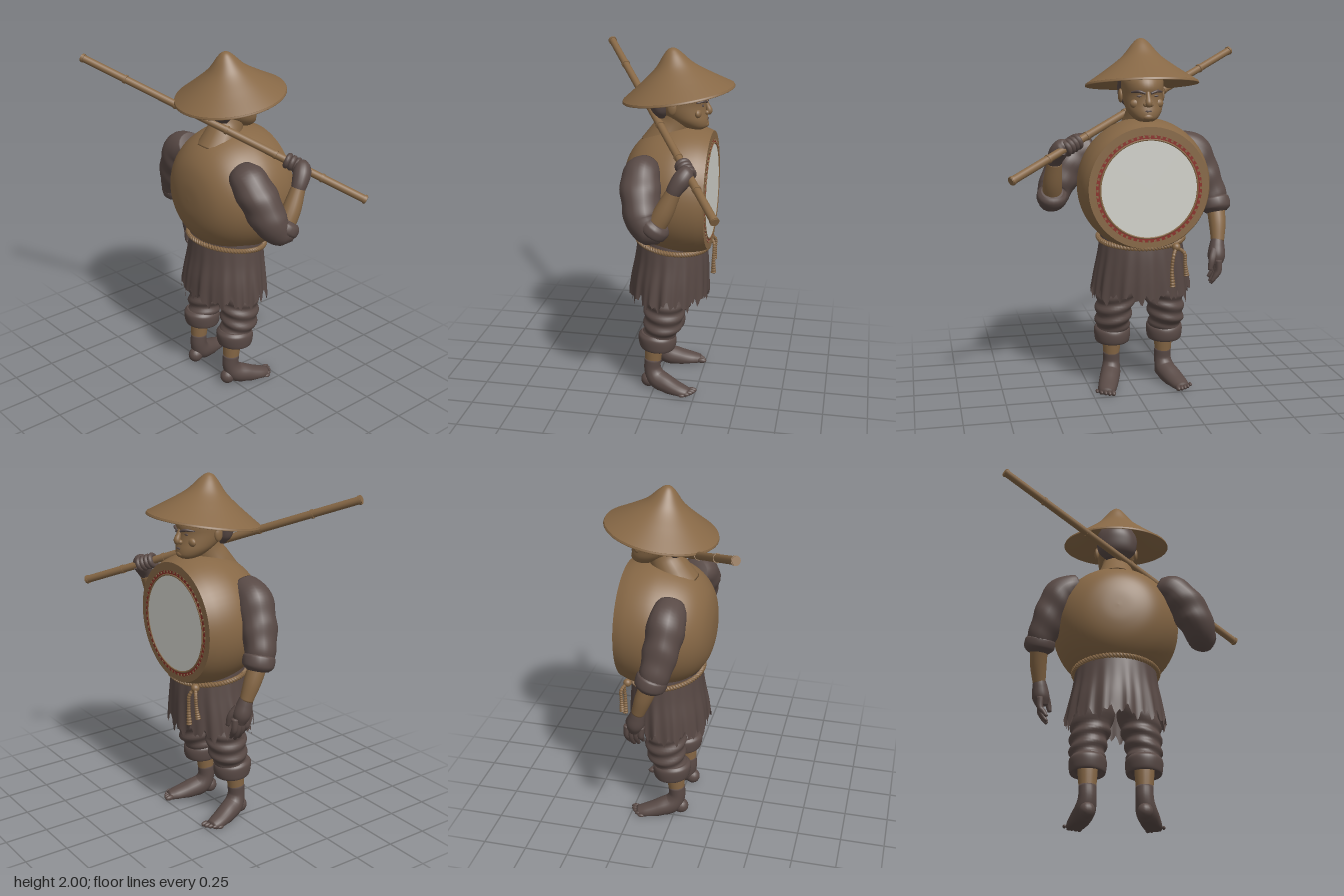
import * as THREE from 'three';

const V = (x, y, z) => new THREE.Vector3(x, y, z);
const mat = (name, color, side = THREE.FrontSide) => {
  const m = new THREE.MeshStandardMaterial({ color, side });
  m.name = name;
  return m;
};

// Skin a list of closed rings, optionally capped at both ends
function skin(rings, caps = true) {
  const n = rings[0].length, pos = [], idx = [];
  rings.forEach(r => r.forEach(p => pos.push(p.x, p.y, p.z)));
  for (let i = 0; i < rings.length - 1; i++) for (let j = 0; j < n; j++) {
    const a = i * n + j, b = i * n + (j + 1) % n;
    idx.push(a, b, a + n, b, b + n, a + n);
  }
  if (caps) [0, rings.length - 1].forEach((ri, end) => {
    const c = rings[ri].reduce((s, p) => s.add(p), V(0, 0, 0)).divideScalar(n);
    const ci = pos.length / 3;
    pos.push(c.x, c.y, c.z);
    for (let j = 0; j < n; j++) {
      const a = ri * n + j, b = ri * n + (j + 1) % n;
      end ? idx.push(ci, a, b) : idx.push(ci, b, a);
    }
  });
  const g = new THREE.BufferGeometry();
  g.setAttribute('position', new THREE.Float32BufferAttribute(pos, 3));
  g.setIndex(idx);
  g.computeVertexNormals();
  return g;
}

// Limb along a smooth path; points are [x, y, z, radius]
function limb(pts, wrinkle = () => 1, steps = 28, sides = 20) {
  const curve = new THREE.CatmullRomCurve3(pts.map(p => V(p[0], p[1], p[2])));
  const radii = new THREE.CatmullRomCurve3(pts.map((p, i) => V(p[3], i, 0)));
  const f = curve.computeFrenetFrames(steps, false), rings = [];
  for (let i = 0; i <= steps; i++) {
    const u = i / steps, c = curve.getPointAt(u), r = radii.getPoint(curve.getUtoTmapping(u)).x;
    rings.push(Array.from({ length: sides }, (_, j) => {
      const a = j / sides * Math.PI * 2, k = r * wrinkle(u, a);
      return c.clone().addScaledVector(f.normals[i], k * Math.cos(a)).addScaledVector(f.binormals[i], k * Math.sin(a));
    }));
  }
  return skin(rings);
}

// Loft of level ellipses, bottom to top; rows are [y, back x, front x, centre z, half width]
function loft(rows, deform = p => p, caps = true, steps = 28, sides = 40) {
  const path = new THREE.CatmullRomCurve3(rows.map(r => V(r[1], r[0], r[2])));
  const wide = new THREE.CatmullRomCurve3(rows.map((r, i) => V(r[3], i, r[4])));
  const rings = [];
  for (let i = 0; i <= steps; i++) {
    const t = i / steps, p = path.getPoint(t), w = wide.getPoint(t);
    rings.push(Array.from({ length: sides }, (_, j) => {
      const a = j / sides * Math.PI * 2;
      return deform(V((p.x + p.z) / 2 + (p.z - p.x) / 2 * Math.sin(a), p.y, w.x + w.z * Math.cos(a)), a, t);
    }));
  }
  return skin(rings, caps);
}

export function createModel() {
  const model = new THREE.Group();
  const tan = mat('tan', 0x876846), dark = mat('dark brown', 0x594a46);
  const cloth = mat('ragged cloth', 0x574844, THREE.DoubleSide);
  const white = mat('drum white', 0xd2d2cb), red = mat('red trim', 0x8a3028);
  const add = (name, geo, m, x = 0, y = 0, z = 0) => {
    const mesh = new THREE.Mesh(geo, m);
    mesh.name = name;
    mesh.position.set(x, y, z);
    model.add(mesh);
    return mesh;
  };
  const ball = (r, sx = 1, sy = 1, sz = 1) => new THREE.SphereGeometry(r, 18, 12).scale(sx, sy, sz);
  const lathe = (pts, n = 64) => new THREE.LatheGeometry(
    new THREE.SplineCurve(pts.map(p => new THREE.Vector2(...p))).getPoints(40), n);
  const CZ = -0.05;

  // Straw hat: outer cone and underside, tipped back
  const outer = [[0.312, 0], [0.2, 0.075], [0.11, 0.143], [0.05, 0.212], [0.022, 0.238], [0, 0.245]];
  const under = [[0, 0.2], [0.05, 0.185], [0.11, 0.128], [0.2, 0.062], [0.306, -0.01]];
  add('hatTop', lathe(outer), tan, 0.105, 1.76, CZ).rotation.z = 0.16;
  add('hatUnderside', lathe([...under, [0.312, 0]]), tan, 0.105, 1.76, CZ).rotation.z = 0.16;

  // Head and face
  add('head', loft([[1.558, 0.17, 0.25, CZ, 0.04], [1.575, 0.12, 0.272, CZ, 0.068], [1.61, 0.06, 0.274, CZ, 0.094],
    [1.65, 0.01, 0.266, CZ, 0.106], [1.7, -0.03, 0.262, CZ, 0.112], [1.74, -0.045, 0.27, CZ, 0.115],
    [1.78, -0.05, 0.258, CZ, 0.114], [1.83, -0.03, 0.21, CZ, 0.095], [1.86, 0.03, 0.14, CZ, 0.05]]), tan);
  add('hair', loft([[1.62, -0.01, 0.05, CZ, 0.07], [1.66, -0.045, 0.075, CZ, 0.108], [1.72, -0.06, 0.1, CZ, 0.121],
    [1.78, -0.06, 0.17, CZ, 0.121], [1.83, -0.035, 0.17, CZ, 0.1]]), dark);
  add('neck', limb([[0.02, 1.44, CZ, 0.13], [0.06, 1.53, CZ, 0.105], [0.09, 1.59, CZ, 0.088], [0.11, 1.66, CZ, 0.08]]), tan);
  add('nose', limb([[0.258, 1.72, CZ, 0.01], [0.268, 1.69, CZ, 0.014], [0.278, 1.66, CZ, 0.019], [0.27, 1.645, CZ, 0.015]]), tan);
  add('mouth', limb([[0.25, 1.612, CZ - 0.04, 0.003], [0.273, 1.617, CZ, 0.005], [0.25, 1.612, CZ + 0.04, 0.003]]), dark);
  add('chin', ball(0.03, 0.8, 0.7, 1.1), tan, 0.255, 1.585, CZ);
  for (const s of [1, -1]) {
    add('ear', ball(0.034, 0.75, 1.15, 0.4), tan, 0.09, 1.69, CZ + s * 0.118);
    add('nostril', ball(0.013), tan, 0.268, 1.653, CZ + s * 0.016);
    add('eye', ball(0.014, 0.4, 0.4, 1.2), dark, 0.25, 1.697, CZ + s * 0.045);
    add('brow', limb([[0.267, 1.712, CZ + s * 0.015, 0.006], [0.258, 1.723, CZ + s * 0.05, 0.008],
      [0.222, 1.718, CZ + s * 0.085, 0.004]]), dark);
    add('cheek', ball(0.033, 0.6, 0.8, 1), tan, 0.225, 1.655, CZ + s * 0.06);
  }

  // Drum torso, lying along x with its skin in front
  const drum = lathe([[0, -0.2], [0.1, -0.194], [0.2, -0.165], [0.28, -0.105], [0.335, -0.02],
    [0.365, 0.08], [0.37, 0.16], [0.358, 0.24], [0.336, 0.3]]).rotateZ(-Math.PI / 2);
  add('drumBody', drum, tan, 0, 1.2, CZ);
  const front = g => g.rotateY(Math.PI / 2);
  add('drumFront', front(new THREE.RingGeometry(0.26, 0.336, 64)), tan, 0.3, 1.2, CZ);
  add('drumSkin', front(new THREE.CircleGeometry(0.268, 64)), white, 0.303, 1.195, CZ);
  add('drumRim', front(new THREE.TorusGeometry(0.272, 0.006, 8, 64)), tan, 0.301, 1.195, CZ);
  add('drumTrim', front(new THREE.RingGeometry(0.277, 0.296, 64)), red, 0.303, 1.195, CZ);
  for (let i = 0; i < 56; i++) {
    const a = i / 56 * Math.PI * 2;
    add('drumStitch', new THREE.BoxGeometry(0.005, 0.011, 0.013), tan,
      0.303, 1.195 + 0.289 * Math.cos(a), CZ + 0.289 * Math.sin(a)).rotation.x = a;
  }

  // Torn skirt: folds deepen toward a ragged hem
  add('skirt', loft([[0.57, -0.165, 0.29, CZ, 0.283], [0.68, -0.155, 0.29, CZ, 0.268],
    [0.8, -0.135, 0.285, CZ, 0.247], [0.93, -0.12, 0.27, CZ, 0.23]], (p, a, t) => {
    const k = 1 + (1 - t) * (0.025 * Math.sin(a * 13) + 0.018 * Math.sin(a * 23 + 1));
    const hem = 0.022 * Math.sin(a * 17) + 0.018 * Math.sin(a * 41 + 2) + 0.012 * Math.sin(a * 7);
    return V(0.065 + (p.x - 0.065) * k, p.y + hem * Math.pow(1 - t, 4), CZ + (p.z - CZ) * k);
  }, false, 24, 160), cloth);

  // Twisted rope belt with a knot and two hanging ends
  for (const ph of [0, Math.PI]) {
    const pts = Array.from({ length: 240 }, (_, i) => {
      const a = i / 240 * Math.PI * 2, w = a * 40 + ph, r = 0.007 * Math.cos(w);
      const x = 0.08 + (0.208 + r) * Math.cos(a);
      return V(x, 0.89 - 0.13 * (x - 0.08) + 0.007 * Math.sin(w), CZ + (0.243 + r) * Math.sin(a));
    });
    add('ropeBelt', new THREE.TubeGeometry(new THREE.CatmullRomCurve3(pts, true), 480, 0.009, 6, true), tan);
  }
  add('ropeKnot', ball(0.024), tan, 0.275, 0.86, -0.21);
  const twist = u => 1 + 0.15 * Math.sin(u * 90);
  add('ropeEnd', limb([[0.275, 0.86, -0.21, 0.01], [0.3, 0.82, -0.19, 0.01], [0.3, 0.74, -0.18, 0.01], [0.3, 0.64, -0.185, 0.015]], twist, 60, 8), tan);
  add('ropeEnd', limb([[0.275, 0.86, -0.21, 0.01], [0.3, 0.83, -0.25, 0.01], [0.3, 0.77, -0.255, 0.01], [0.295, 0.7, -0.265, 0.015]], twist, 60, 8), tan);

  // Legs: trousers, rolled cuffs, shins and broad feet
  const crumple = (u, a) => 1 + 0.03 * Math.sin(u * 22 + 2 * Math.sin(a)) + 0.02 * Math.sin(a * 3 + u * 9);
  for (const s of [1, -1]) {
    const z = d => CZ + s * d;
    add('trouserLeg', loft([[0.33, -0.07, 0.11, z(0.155), 0.092], [0.4, -0.06, 0.155, z(0.157), 0.1],
      [0.48, -0.06, 0.17, z(0.15), 0.106], [0.56, -0.06, 0.18, z(0.135), 0.115], [0.72, -0.08, 0.2, z(0.115), 0.115]],
    (p, a, t) => p.add(V(Math.sin(a), 0, Math.cos(a)).multiplyScalar(0.007 * Math.sin(t * 26 + 2 * Math.sin(a + s))))), dark);
    add('trouserCuff', loft([[0.28, -0.05, 0.08, z(0.155), 0.07], [0.265, -0.08, 0.115, z(0.155), 0.095],
      [0.3, -0.092, 0.128, z(0.155), 0.104], [0.34, -0.093, 0.125, z(0.155), 0.104], [0.362, -0.075, 0.1, z(0.155), 0.088]],
    p => p.setY(p.y + 0.06 * (p.x - 0.02) * -1)), dark);
    add('shin', limb([[0, 0.34, z(0.155), 0.058], [-0.005, 0.26, z(0.155), 0.054], [-0.01, 0.17, z(0.155), 0.047]]), tan);
    const foot = limb([[-0.01, 0.19, z(0.155), 0.049], [-0.012, 0.12, z(0.155), 0.05], [0.015, 0.065, z(0.165), 0.058],
      [0.09, 0.038, z(0.19), 0.057], [0.17, 0.022, z(0.215), 0.051], [0.215, 0.015, z(0.225), 0.038]]);
    const p = foot.attributes.position;
    for (let i = 0; i < p.count; i++) {
      const flat = THREE.MathUtils.smoothstep(p.getX(i), 0.05, 0.2);
      p.setY(i, Math.max(0.002, p.getY(i) * (1 - 0.25 * flat)));
    }
    foot.computeVertexNormals();
    add('foot', foot, dark);
    add('heel', ball(0.045, 1, 1, 0.95), dark, -0.036, 0.046, z(0.155));
    for (let i = 0; i < 5; i++)
      add('toe', ball(0.017 - i * 0.0015, 1.7, 0.95, 0.85), dark, 0.23 - i * i * 0.003, 0.017, z(0.19 + i * 0.021));
  }

  // Raised arm gripping the pole
  add('raisedSleeve', limb([[-0.02, 1.4, 0.2, 0.075], [-0.035, 1.365, 0.28, 0.105], [-0.02, 1.25, 0.38, 0.108],
    [0.01, 1.15, 0.435, 0.093], [0.055, 1.12, 0.455, 0.078], [0.085, 1.16, 0.455, 0.06]], crumple, 40), dark);
  add('raisedCuff', limb([[0.04, 1.1, 0.452, 0.06], [0.055, 1.12, 0.453, 0.083], [0.08, 1.15, 0.455, 0.082], [0.093, 1.168, 0.455, 0.06]]), dark);
  add('raisedForearm', limb([[0.06, 1.12, 0.453, 0.053], [0.115, 1.22, 0.455, 0.053], [0.17, 1.34, 0.45, 0.04]]), tan);
  add('raisedPalm', limb([[0.155, 1.31, 0.452, 0.036], [0.18, 1.36, 0.448, 0.044], [0.21, 1.405, 0.432, 0.05],
    [0.235, 1.44, 0.41, 0.042], [0.25, 1.455, 0.4, 0.022]]), dark);

  // Bamboo pole over the shoulder, with joints, and the fingers around it
  const A = V(-0.427, 1.912, -0.715), B = V(0.427, 1.283, 0.715);
  const dir = B.clone().sub(A), len = dir.length();
  dir.normalize();
  const onPole = (name, geo, m, t) => {
    const c = A.clone().lerp(B, t);
    return add(name, geo, m, c.x, c.y, c.z).quaternion.setFromUnitVectors(V(0, 1, 0), dir);
  };
  onPole('pole', new THREE.CylinderGeometry(0.022, 0.021, len, 20), tan, 0.5);
  for (const t of [0.006, 0.16, 0.34, 0.52, 0.69, 0.85, 0.994])
    onPole('poleJoint', new THREE.CylinderGeometry(0.025, 0.025, 0.013, 20), tan, t);
  for (let i = 0; i < 4; i++)
    onPole('grippingFinger', new THREE.TorusGeometry(0.03, 0.016, 10, 24).rotateX(Math.PI / 2), dark, 0.732 + i * 0.0155);
  add('grippingThumb', limb([[0.2, 1.38, 0.43, 0.022], [0.235, 1.385, 0.43, 0.019], [0.265, 1.405, 0.415, 0.014]]), dark);

  // Lowered arm with a relaxed hand
  add('loweredSleeve', limb([[0, 1.41, -0.27, 0.075], [0, 1.365, -0.36, 0.103], [0.015, 1.22, -0.435, 0.098],
    [0.04, 1.1, -0.48, 0.085], [0.06, 1.04, -0.498, 0.07]], crumple, 40), dark);
  add('loweredCuff', limb([[0.045, 1.095, -0.485, 0.07], [0.05, 1.08, -0.488, 0.087], [0.063, 1.035, -0.497, 0.086], [0.07, 1.01, -0.5, 0.06]]), dark);
  add('loweredForearm', limb([[0.055, 1.06, -0.495, 0.052], [0.1, 0.95, -0.497, 0.048], [0.135, 0.85, -0.49, 0.037]]), tan);
  add('loweredPalm', limb([[0.13, 0.872, -0.491, 0.034], [0.14, 0.83, -0.485, 0.043], [0.155, 0.77, -0.478, 0.05], [0.165, 0.72, -0.47, 0.034]]), dark);
  for (let i = 0; i < 4; i++) {
    const x = 0.2 - i * 0.026, drop = [0.015, 0, 0.005, 0.025][i];
    add('finger', limb([[x, 0.755, -0.48, 0.02], [x + 0.004, 0.69, -0.478, 0.018],
      [x + 0.004, 0.65 + drop, -0.463, 0.015], [x, 0.615 + drop, -0.44, 0.009]], () => 1, 14, 10), dark);
  }
  add('thumb', limb([[0.165, 0.81, -0.465, 0.024], [0.2, 0.76, -0.44, 0.02], [0.21, 0.7, -0.425, 0.012]], () => 1, 14, 10), dark);

  return model;
}
